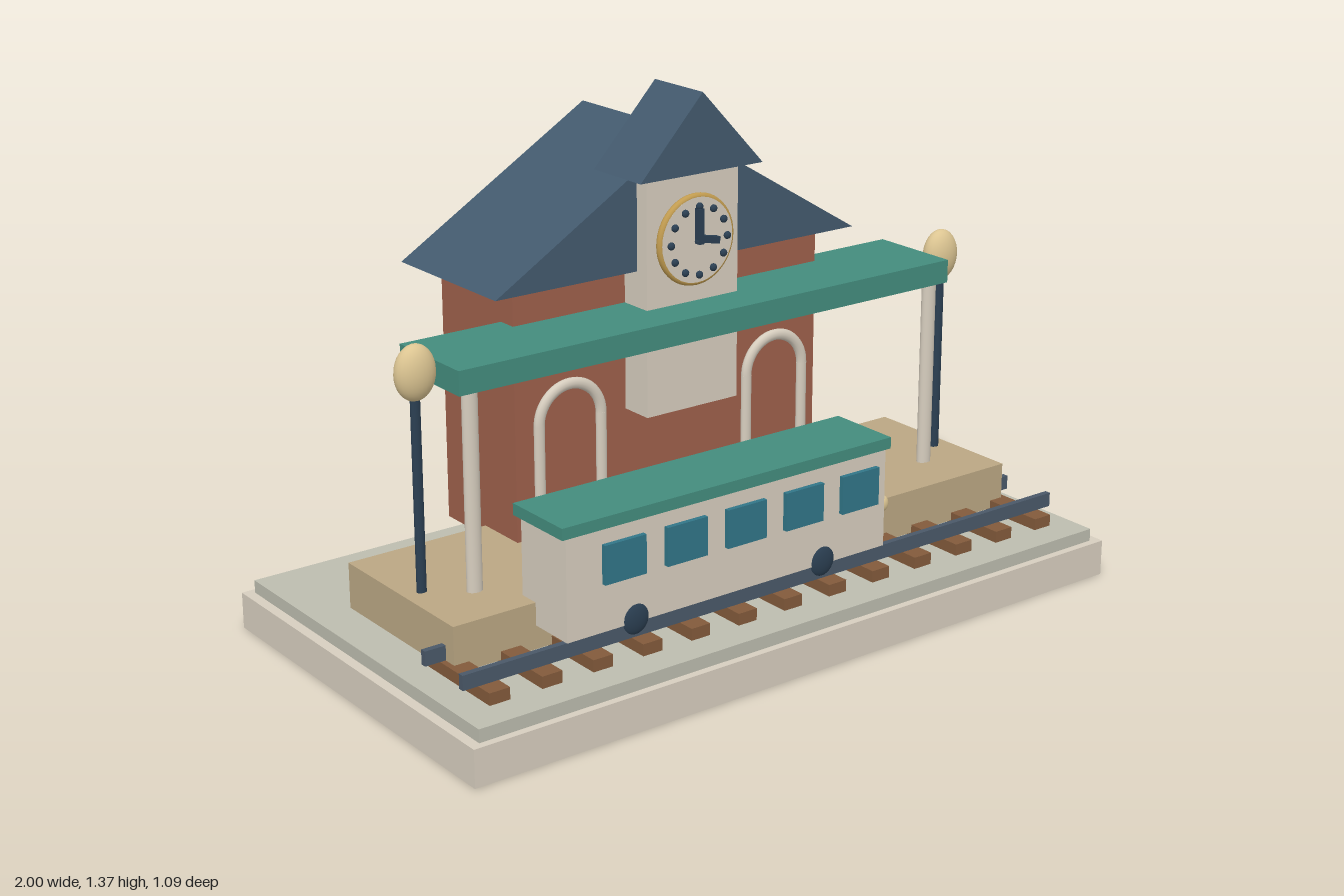
import * as THREE from 'three';

const paint = (hex) => new THREE.MeshStandardMaterial({ color: hex });

export function createModel() {
  const model = new THREE.Group();
  model.name = 'trainStation';
  const cream = paint(0xd6cdbe), stone = paint(0xbcbcae), sand = paint(0xbaa683), brick = paint(0x9e604b);
  const slate = paint(0x435a6e), teal = paint(0x438c7d), navy = paint(0x2b3f52), glass = paint(0x317587);
  const wood = paint(0x825a3b), gold = paint(0xc29c50), glow = paint(0xdcc592), steel = paint(0x4a5868);

  const add = (parent, name, geometry, material, x = 0, y = 0, z = 0) => {
    const mesh = new THREE.Mesh(geometry, material);
    mesh.name = name;
    mesh.position.set(x, y, z);
    parent.add(mesh);
    return mesh;
  };
  // Box given by its extents
  const box = (parent, name, material, [x0, x1], [y0, y1], [z0, z1]) =>
    add(parent, name, new THREE.BoxGeometry(x1 - x0, y1 - y0, z1 - z0), material,
      (x0 + x1) / 2, (y0 + y1) / 2, (z0 + z1) / 2);
  // Upright post, slightly narrower in depth
  const post = (parent, name, material, r, x, y0, y1, z) => {
    const mesh = add(parent, name, new THREE.CylinderGeometry(r, r, y1 - y0, 20), material, x, (y0 + y1) / 2, z);
    mesh.scale.z = 0.76;
    return mesh;
  };
  const ellipsoid = (parent, name, material, rx, ry, rz, x, y, z) => {
    const mesh = add(parent, name, new THREE.SphereGeometry(1, 24, 16), material, x, y, z);
    mesh.scale.set(rx, ry, rz);
    return mesh;
  };
  // Solid gable roof
  const gable = (parent, name, half, y0, y1, z0, z1) => {
    const shape = new THREE.Shape([
      new THREE.Vector2(-half, y0), new THREE.Vector2(half, y0), new THREE.Vector2(0, y1)]);
    return add(parent, name, new THREE.ExtrudeGeometry(shape, { depth: z1 - z0, bevelEnabled: false }), slate, 0, 0, z0);
  };

  // Base and platform
  box(model, 'base', cream, [-1, 1], [0, 0.097], [-0.545, 0.545]);
  box(model, 'ground', stone, [-0.973, 0.973], [0.097, 0.131], [-0.525, 0.525]);
  box(model, 'platform', sand, [-0.88, 0.88], [0.145, 0.265], [-0.2, 0.278]);

  // Station building and clock tower
  const building = new THREE.Group();
  building.name = 'building';
  model.add(building);
  box(building, 'walls', brick, [-0.48, 0.48], [0.235, 0.91], [-0.375, -0.053]);
  gable(building, 'mainRoof', 0.563, 0.925, 1.264, -0.43, 0);
  box(building, 'tower', cream, [-0.143, 0.143], [0.55, 1.162], [-0.078, 0.04]);
  gable(building, 'towerRoof', 0.19, 1.17, 1.373, -0.115, 0.08);

  // Door arches
  for (const s of [-1, 1]) {
    const arch = new THREE.Group();
    arch.name = 'doorArch';
    arch.position.set(s * 0.328, 0, -0.033);
    building.add(arch);
    const R = 0.094, r = 0.015;
    add(arch, 'archCurve', new THREE.TorusGeometry(R, r, 12, 32, Math.PI), cream, 0, 0.567, 0).scale.z = 0.76;
    for (const side of [-1, 1]) post(arch, 'archJamb', cream, r, side * R, 0.265, 0.567, 0);
  }

  // Clock
  const clock = new THREE.Group();
  clock.name = 'clock';
  clock.position.set(0, 0.995, 0);
  building.add(clock);
  add(clock, 'clockFace', new THREE.CylinderGeometry(0.11, 0.11, 0.02, 40), cream, 0, 0, 0.05).rotation.x = Math.PI / 2;
  add(clock, 'clockRim', new THREE.TorusGeometry(0.109, 0.01, 12, 48), gold, 0, 0, 0.05);
  for (let i = 0; i < 12; i++) {
    const a = (i * Math.PI) / 6;
    ellipsoid(clock, 'hourMark', navy, 0.01, 0.01, 0.008, Math.sin(a) * 0.088, Math.cos(a) * 0.088, 0.068);
  }
  box(clock, 'minuteHand', navy, [-0.008, 0.008], [-0.008, 0.083], [0.06, 0.078]);
  box(clock, 'hourHand', navy, [-0.008, 0.06], [-0.009, 0.009], [0.06, 0.076]).rotation.z = -0.2;

  // Canopy, its columns and the lamps
  box(model, 'canopy', teal, [-0.768, 0.768], [0.77, 0.832], [-0.105, 0.155]);
  for (const s of [-1, 1]) {
    post(model, 'canopyColumn', cream, 0.021, s * 0.725, 0.265, 0.77, 0.13);
    post(model, 'lampPost', navy, 0.013, s * 0.83, 0.265, 0.77, 0.06);
    ellipsoid(model, 'lampGlobe', glow, 0.054, 0.07, 0.036, s * 0.828, 0.816, 0.06);
  }

  // Track
  const track = new THREE.Group();
  track.name = 'track';
  model.add(track);
  for (let i = -6; i <= 6; i++) {
    const x = i * 0.1445;
    box(track, 'sleeper', wood, [x - 0.028, x + 0.028], [0.136, 0.167], [0.178, 0.45]);
  }
  for (const z of [0.235, 0.397]) box(track, 'rail', steel, [-0.937, 0.937], [0.168, 0.206], [z - 0.008, z + 0.008]);

  // Rail carriage
  const carriage = new THREE.Group();
  carriage.name = 'carriage';
  model.add(carriage);
  box(carriage, 'carriageBody', cream, [-0.65, 0.333], [0.206, 0.472], [0.223, 0.407]);
  box(carriage, 'carriageRoof', teal, [-0.665, 0.343], [0.47, 0.5], [0.212, 0.415]);
  for (let i = 0; i < 5; i++) {
    const x = -0.488 + i * 0.1825;
    box(carriage, 'carriageWindow', glass, [x - 0.06, x + 0.06], [0.33, 0.43], [0.4, 0.42]);
  }
  for (const x of [-0.45, 0.13]) ellipsoid(carriage, 'wheel', navy, 0.041, 0.043, 0.015, x, 0.215, 0.4);
  for (const z of [0.247, 0.393]) ellipsoid(carriage, 'headlight', glow, 0.016, 0.021, 0.012, 0.341, 0.315, z);

  return model;
}
